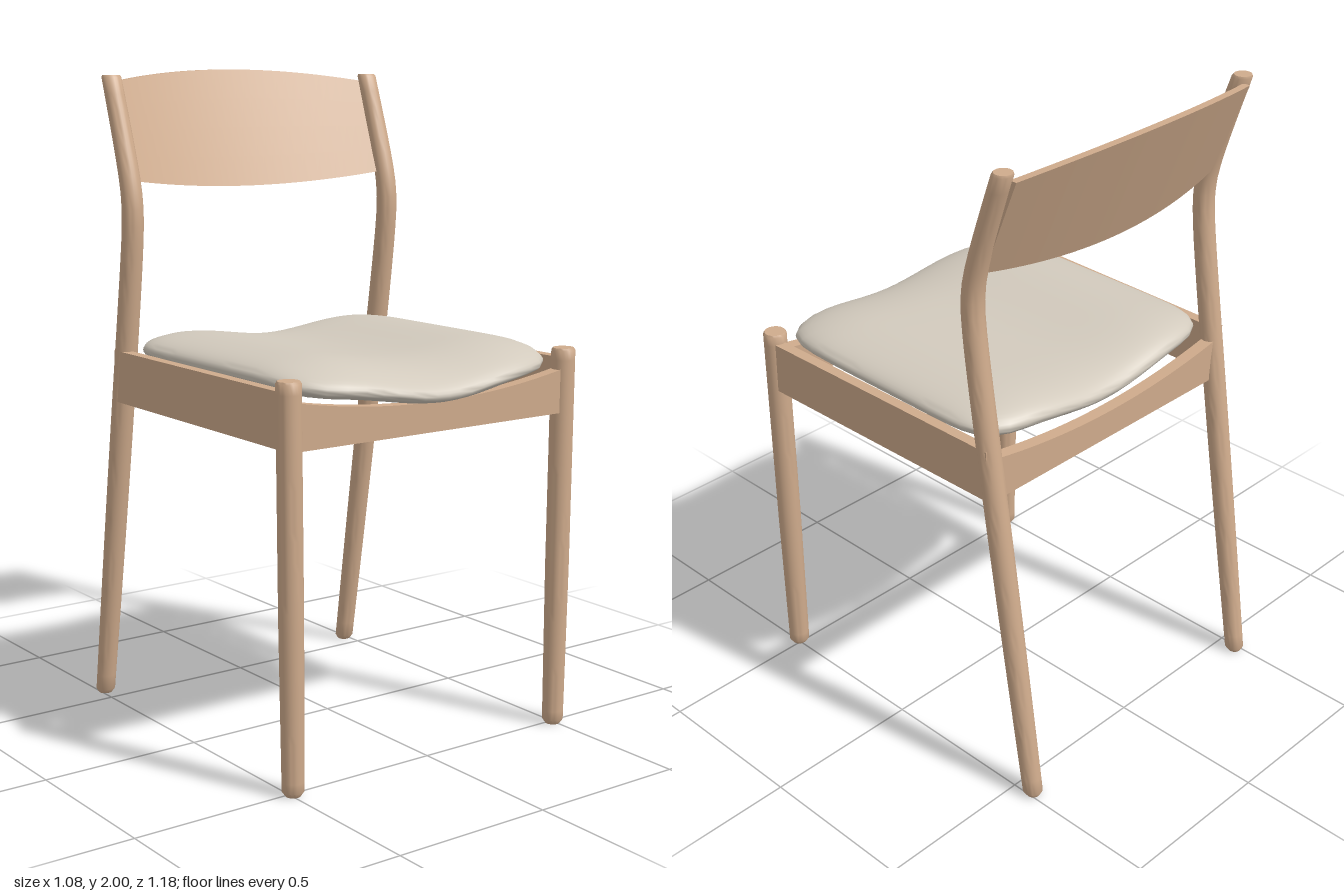
import * as THREE from 'three';
import { toCreasedNormals } from 'three/addons/utils/BufferGeometryUtils.js';

// Move every vertex of a geometry by a rule, then smooth all but sharp edges
function reshape(geometry, rule, crease = 0.7) {
  const pos = geometry.attributes.position;
  const v = new THREE.Vector3();
  for (let i = 0; i < pos.count; i++) {
    v.fromBufferAttribute(pos, i);
    rule(v);
    pos.setXYZ(i, v.x, v.y, v.z);
  }
  return toCreasedNormals(geometry, crease);
}

// Round post with softened ends that follows a centre line (x(y), z(y))
function postGeometry(top, radiusAt, xAt, zAt) {
  const points = [new THREE.Vector2(0, 0), new THREE.Vector2(radiusAt(0) * 0.7, 0)];
  const steps = 40, soft = 0.014;
  for (let i = 0; i <= steps; i++) {
    const y = soft + (top - 1.5 * soft) * (i / steps);
    points.push(new THREE.Vector2(radiusAt(y), y));
  }
  points.push(new THREE.Vector2(radiusAt(top) * 0.88, top), new THREE.Vector2(0, top));
  return reshape(new THREE.LatheGeometry(points, 24), (v) => {
    v.x += xAt(v.y);
    v.z += zAt(v.y);
  });
}

// Back post: leans forward, then bends backwards above the seat
function backLine(y) {
  const lower = -0.563 + 0.158 * y;
  const upper = -0.44 + 0.35 * (1.98 - y);
  return (lower + upper) / 2 - Math.hypot((lower - upper) / 2, 0.022);
}

// Cross rail with a dipped upper edge
function crossRailGeometry(halfWidth, thickness) {
  const shape = new THREE.Shape();
  shape.moveTo(-halfWidth, 0.985);
  shape.lineTo(halfWidth, 0.985);
  shape.lineTo(halfWidth, 1.12);
  shape.quadraticCurveTo(0, 1.025, -halfWidth, 1.12);
  shape.closePath();
  const g = new THREE.ExtrudeGeometry(shape, { depth: thickness, bevelEnabled: false, curveSegments: 24 });
  g.translate(0, 0, -thickness / 2);
  return toCreasedNormals(g, 0.6);
}

// Curved, reclined panel with bowed upper and lower edges
function backrestGeometry() {
  return reshape(new THREE.BoxGeometry(0.95, 1, 1, 32, 4, 1), (v) => {
    const q = (v.x / 0.475) ** 2;
    const low = 1.637 + 0.033 * q;
    const high = 2.0 - 0.038 * q;
    const y = THREE.MathUtils.lerp(low, high, v.y + 0.5);
    const front = -0.39 + 0.062 * q - 0.395 * (y - 1.64);
    v.z = front + (v.z - 0.5) * 0.024;
    v.y = y;
  }, 0.6);
}

// Saddle-shaped pad: a sphere squared off in plan, dipped in the middle
function cushionGeometry() {
  return reshape(new THREE.SphereGeometry(1, 72, 40), (v) => {
    const r = Math.min(1, Math.hypot(v.x, v.z));
    const c = r > 1e-6 ? v.x / r : 1;
    const s = r > 1e-6 ? v.z / r : 0;
    const square = r * (Math.abs(c) ** 7 + Math.abs(s) ** 7) ** (-1 / 7);
    const u = c * square;
    const w = s * square;
    const bow = 1 - u * u;
    const x = 0.486 * u;
    const z = w > 0 ? w * (0.535 + 0.05 * bow) : w * (0.385 + 0.02 * bow);
    const swell = Math.sin(Math.min(1, Math.abs(u) / 0.72) * Math.PI / 2) ** 2;
    const nose = Math.max(0, (z - 0.3) / 0.285) ** 2;
    const half = 0.056 * Math.sqrt(Math.max(0, 1 - r ** 5));
    v.set(x, 1.125 + 0.034 * swell - 0.03 * nose + Math.sign(v.y) * half, z);
  }, 1.2);
}

export function createModel() {
  const wood = new THREE.MeshStandardMaterial({ color: 0xcfab8c });
  wood.name = 'wood';
  const fabric = new THREE.MeshStandardMaterial({ color: 0xd2cabd });
  fabric.name = 'fabric';

  const chair = new THREE.Group();
  chair.name = 'chair';
  const add = (name, geometry, material) => {
    const mesh = new THREE.Mesh(geometry, material);
    mesh.name = name;
    chair.add(mesh);
    return mesh;
  };

  for (const [side, sign] of [['left', 1], ['right', -1]]) {
    // Front leg, slightly splayed towards the top
    add(side + 'FrontLeg', postGeometry(1.18,
      (y) => 0.032 + 0.004 * Math.min(1, y / 0.5),
      (y) => sign * (0.494 + 0.009 * y),
      () => 0.511), wood);

    // Back leg running up into the backrest post
    add(side + 'BackLeg', postGeometry(1.985,
      (y) => 0.03 + 0.005 * Math.sin(Math.PI * Math.min(1, y / 1.985)),
      () => sign * 0.486,
      backLine), wood);

    // Side rail of the seat frame
    const rail = add(side + 'SideRail', new THREE.BoxGeometry(0.034, 0.16, 0.9), wood);
    rail.position.set(sign * 0.505, 1.07, 0.045);
    rail.rotation.y = sign * 0.012;
  }

  // Cross rails of the seat frame
  add('frontRail', crossRailGeometry(0.49, 0.04), wood).position.z = 0.512;
  add('backRail', crossRailGeometry(0.48, 0.04), wood).position.z = -0.395;

  add('backrest', backrestGeometry(), wood);
  add('seatCushion', cushionGeometry(), fabric);

  return chair;
}
